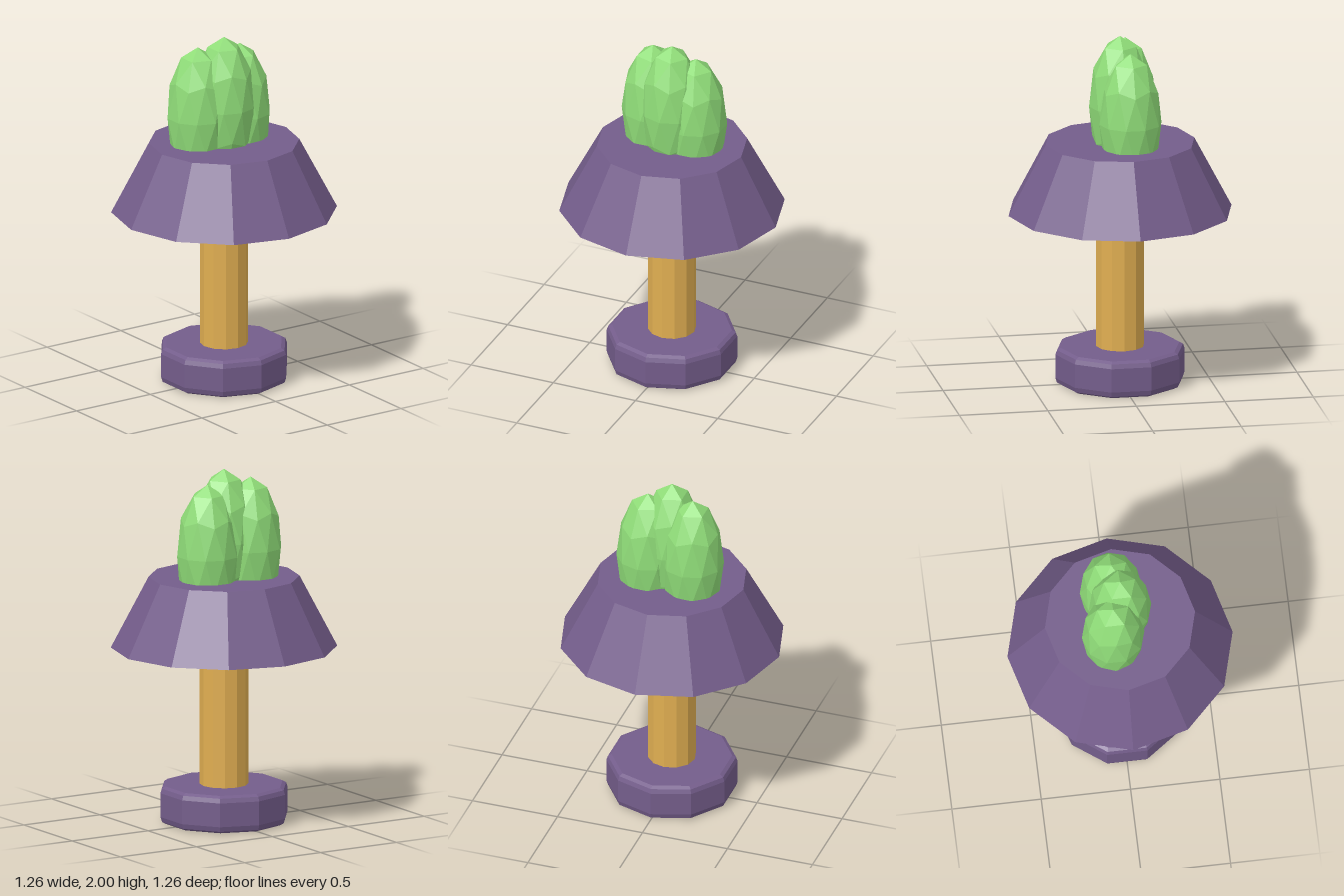
import * as THREE from 'three';

const flat = (name, color) => {
  const m = new THREE.MeshStandardMaterial({ color });
  m.flatShading = true;
  m.name = name;
  return m;
};

export function createModel() {
  const group = new THREE.Group();
  const purple = flat('purple', 0x745d8b);
  const wood = flat('wood', 0xe0ae51);
  const green = flat('green', 0x8fdc78);

  const add = (name, geometry, material, x = 0, y = 0, z = 0) => {
    const mesh = new THREE.Mesh(geometry, material);
    mesh.name = name;
    mesh.position.set(x, y, z);
    group.add(mesh);
    return mesh;
  };

  // Ten-sided foot with a rounded rim
  const rim = [[0, 0], [0.335, 0], [0.356, 0.012], [0.365, 0.04],
    [0.365, 0.175], [0.356, 0.2], [0.335, 0.212], [0, 0.212]];
  add('base', new THREE.LatheGeometry(rim.map(p => new THREE.Vector2(...p)), 10), purple);

  // Post, running a little way into the foot and the shade
  add('post', new THREE.CylinderGeometry(0.135, 0.135, 0.9, 12), wood, 0, 0.6, 0);

  // Solid tapered shade
  add('shade', new THREE.CylinderGeometry(0.42, 0.63, 0.4, 12), purple, 0, 1.19, 0);

  // Faceted buds: a divided icosahedron stood on one corner and stretched
  const bud = new THREE.IcosahedronGeometry(1, 1);
  bud.rotateZ(-Math.atan(2 / (1 + Math.sqrt(5))));
  bud.scale(0.175, 0.4, 0.175);
  add('middleBud', bud, green, 0, 1.6, 0);
  add('rightBud', bud, green, -0.14, 1.55, -0.055);
  add('leftBud', bud, green, 0.13, 1.53, -0.035);

  return group;
}
